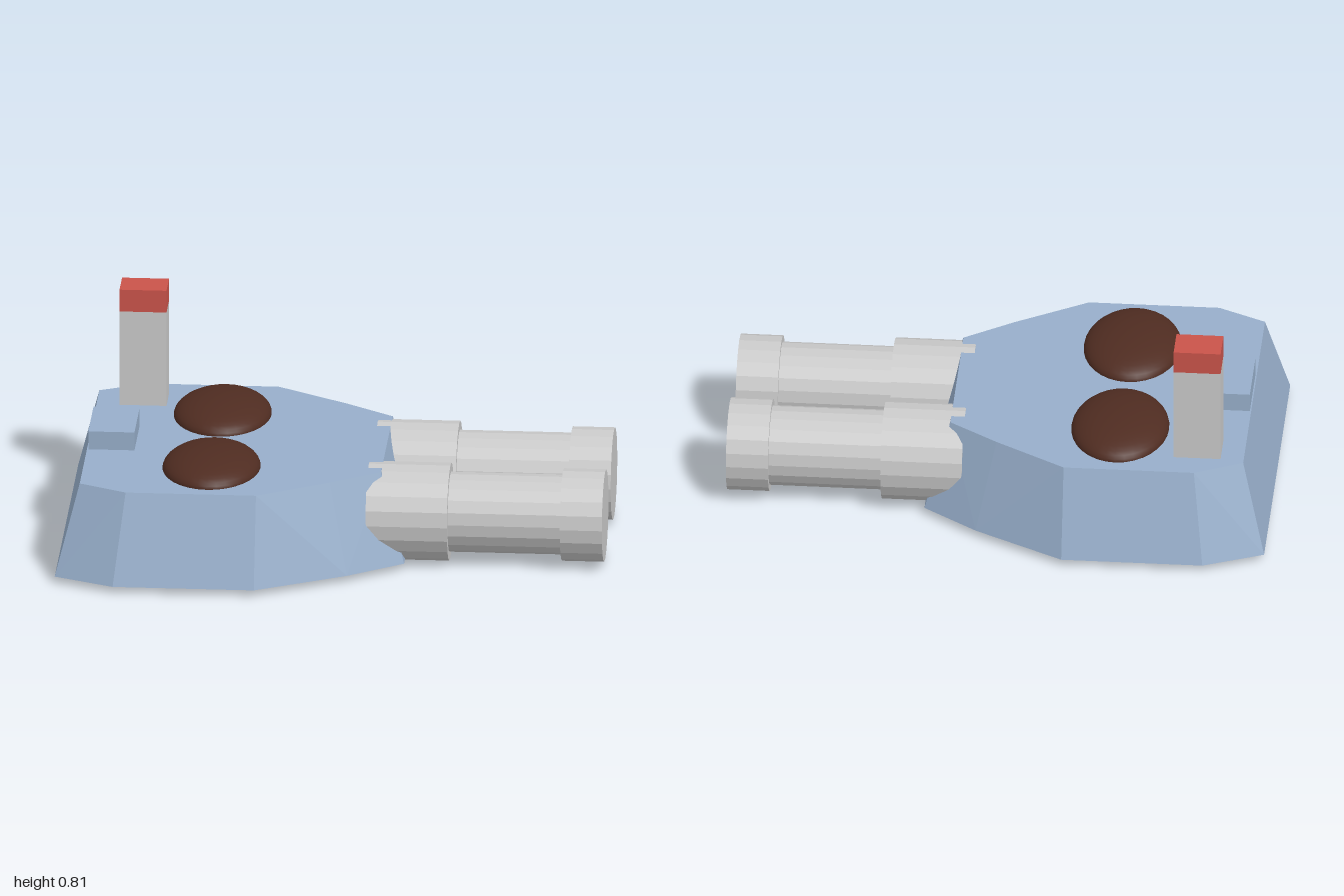
import * as THREE from 'three';
import { ConvexGeometry } from 'three/addons/geometries/ConvexGeometry.js';

const material = (name, color) => {
  const m = new THREE.MeshStandardMaterial({ color });
  m.name = name;
  return m;
};

// Give every face its own normal
function flat(geometry) {
  const g = geometry.toNonIndexed();
  g.computeVertexNormals();
  return g;
}

export function createModel() {
  const model = new THREE.Group();
  model.name = 'turret';
  const blue = material('blue armour', 0x97aeca);
  const grey = material('light grey metal', 0xc9c9c9);
  const brown = material('dark brown', 0x4f2c21);
  const red = material('red', 0xc9534a);

  const add = (name, geometry, mat, x = 0, y = 0, z = 0, parent = model) => {
    const mesh = new THREE.Mesh(geometry, mat);
    mesh.name = name;
    mesh.position.set(x, y, z);
    parent.add(mesh);
    return mesh;
  };
  const box = (name, mat, x0, x1, y0, y1, z0, z1) =>
    add(name, new THREE.BoxGeometry(x1 - x0, y1 - y0, z1 - z0), mat,
      (x0 + x1) / 2, (y0 + y1) / 2, (z0 + z1) / 2);

  // Hull: half outlines [x, z] at floor and roof, mirrored and wrapped
  const floor = [[-1, 0.6], [-0.78, 0.695], [-0.26, 0.695], [0.07, 0.515], [0.27, 0.37]];
  const roof = [[-0.915, 0.5], [-0.74, 0.585], [-0.26, 0.585], [0, 0.425], [0.18, 0.3]];
  const points = [];
  for (const [outline, y] of [[floor, 0.03], [roof, 0.36]])
    for (const [x, z] of outline)
      for (const side of [-1, 1]) points.push(new THREE.Vector3(x, y, side * z));
  add('hull', new ConvexGeometry(points), blue);

  // Roof fittings
  box('roofBox', blue, -0.91, -0.74, 0.35, 0.43, -0.133, 0.133);
  box('mast', grey, -0.83, -0.657, 0.35, 0.725, -0.48, -0.35);
  box('mastTip', red, -0.83, -0.657, 0.725, 0.81, -0.48, -0.35);

  // Hatch domes and stepped gun barrels, one set per side
  const steps = [
    ['barrelCollar', 0.13, 0.43, 0.18],
    ['barrelTube', 0.43, 0.845, 0.147],
    ['barrelMuzzle', 0.845, 1, 0.17],
  ];
  for (const side of [-1, 1]) {
    const dome = add('hatchDome', new THREE.SphereGeometry(1, 32, 20), brown, -0.445, 0.36, side * 0.285);
    dome.scale.set(0.18, 0.07, 0.25);

    const barrel = new THREE.Group();
    barrel.name = 'barrel';
    barrel.position.set(0, 0.185, side * 0.225);
    for (const [name, x0, x1, r] of steps) {
      const g = flat(new THREE.CylinderGeometry(r, r, x1 - x0, 20)).rotateZ(-Math.PI / 2);
      add(name, g, grey, (x0 + x1) / 2, 0, 0, barrel);
    }
    model.add(barrel);
  }
  return model;
}
